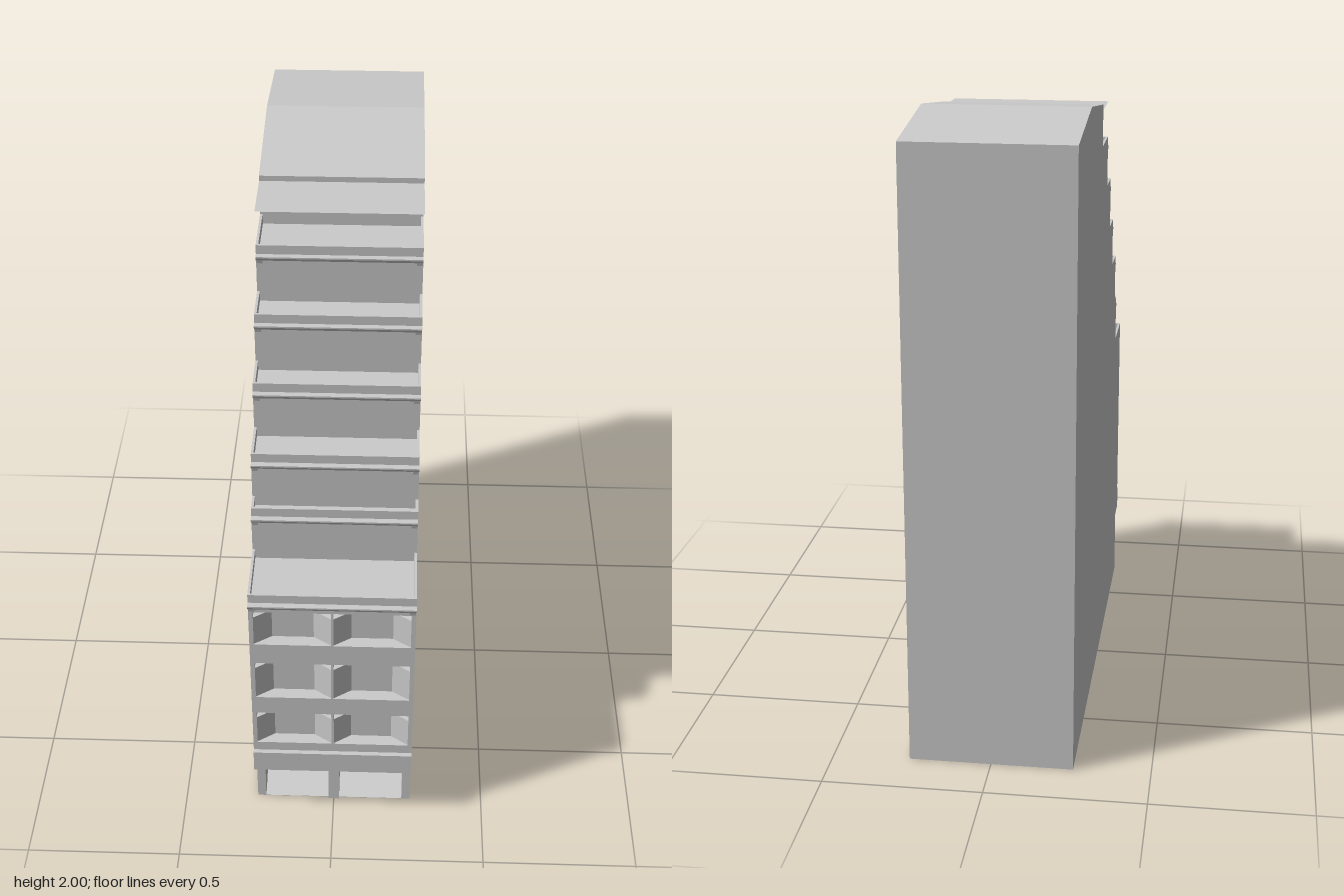
import * as THREE from 'three';

const W = 0.516, H = W / 2;
const material = new THREE.MeshStandardMaterial({ color: 0xcccccc, flatShading: true });
const sheetMaterial = new THREE.MeshStandardMaterial({ color: 0xcccccc, side: THREE.DoubleSide });

export function createModel() {
  const model = new THREE.Group();

  const add = (name, geometry, mat = material) => {
    const mesh = new THREE.Mesh(geometry, mat);
    mesh.name = name;
    model.add(mesh);
    return mesh;
  };
  const box = (name, x0, x1, y0, y1, z0, z1) =>
    add(name, new THREE.BoxGeometry(x1 - x0, y1 - y0, z1 - z0)
      .translate((x0 + x1) / 2, (y0 + y1) / 2, (z0 + z1) / 2));
  const polygon = (points) => new THREE.Shape(points.map(([a, b]) => new THREE.Vector2(a, b)));

  // Extrude a (z, y) profile across the width, centred on x
  const across = (name, profile, width = W, x = 0) =>
    add(name, new THREE.ExtrudeGeometry(polygon(profile), { depth: width, bevelEnabled: false })
      .rotateY(-Math.PI / 2).translate(x + width / 2, 0, 0));

  // Front wall with rectangular holes [x0, x1, y0, y1]
  const wall = (name, y0, y1, z0, z1, openings) => {
    const shape = polygon([[-H, y0], [H, y0], [H, y1], [-H, y1]]);
    for (const [a, b, c, d] of openings) {
      shape.holes.push(polygon([[a, c], [a, d], [b, d], [b, c]]));
    }
    add(name, new THREE.ExtrudeGeometry(shape, { depth: z1 - z0, bevelEnabled: false }).translate(0, 0, z0));
  };

  // Terraces: front z and parapet top y
  const terraces = [[0.815, 0.985], [0.6, 1.15], [0.54, 1.315], [0.4, 1.48], [0.275, 1.65], [0.14, 1.815]];
  const sink = 0.035;
  const thin = 0.008;

  // Main body: stepped front, shallow ridged roof
  const profile = [[-0.83, 0], [0.64, 0], [0.64, 0.23]];
  let floor = 0.23;
  terraces.forEach(([z, top], i) => {
    const front = i ? z : 0.775;
    profile.push([front, floor], [front, top - sink]);
    floor = top - sink;
  });
  profile.splice(3, 0);
  profile.push([-0.055, floor], [-0.055, 1.95], [-0.445, 2], [-0.83, 1.95]);
  across('body', profile);

  // Parapets, cornices and end brackets of each terrace
  terraces.forEach(([z, top], i) => {
    const back = i < 5 ? terraces[i + 1][0] : -0.055;
    box('frontParapet', -H, H, top - sink, top, z - thin, z);
    for (const s of [-1, 1]) {
      const edges = [s * H, s * (H - thin)].sort((a, b) => a - b);
      box('sideParapet', edges[0], edges[1], top - sink, top, back, z - thin);
      across('cornerBracket', [[z, top - 0.062], [z + 0.01, top - 0.058], [z + 0.013, top - 0.045], [z, top - 0.045]],
        0.018, s * (H - 0.011));
    }
    across('cornice', [[z, top - 0.047], [z + 0.012, top - 0.047], [z + 0.019, top - 0.036], [z + 0.019, top - 0.031], [z, top - 0.031]]);
  });

  // Thin canopy over the top terrace
  add('canopy', new THREE.PlaneGeometry(W, 0.195).rotateX(-Math.PI / 2).translate(0, 1.932, 0.0425), sheetMaterial);

  // Upper facade with two wide openings on each of three floors
  const floors = [[0.345, 0.48], [0.55, 0.7], [0.78, 0.915]];
  const bays = [[-0.244, -0.004], [0.004, 0.244]];
  const openings = floors.flatMap(([y0, y1]) => bays.map(([x0, x1]) => [x0, x1, y0, y1]));
  wall('facade', 0.31, 0.95, 0.775, 0.815, openings);

  // Splayed side panels inside every opening
  for (const [x0, x1, y0, y1] of openings) {
    for (const [edge, dir] of [[x0, 1], [x1, -1]]) {
      const panel = polygon([[edge, -0.775], [edge + dir * 0.055, -0.775], [edge, -0.812]]);
      add('windowPanel', new THREE.ExtrudeGeometry(panel, { depth: y1 - y0 - 0.025, bevelEnabled: false })
        .rotateX(-Math.PI / 2).translate(0, y0, 0));
    }
  }

  // Ledge over the shop front
  box('ledge', -H, H, 0.23, 0.31, 0.735, 0.83);

  // Shop front: two recessed bays, sloping sill and centre pillar
  wall('shopFront', 0, 0.23, 0.64, 0.735, [[-0.23, -0.018, 0.001, 0.19], [0.018, 0.23, 0.001, 0.19]]);
  across('sill', [[0.64, 0.001], [0.734, 0.001], [0.64, 0.036]], 0.46);
  box('centrePillar', -0.018, 0.018, 0, 0.23, 0.64, 0.742);

  return model;
}
